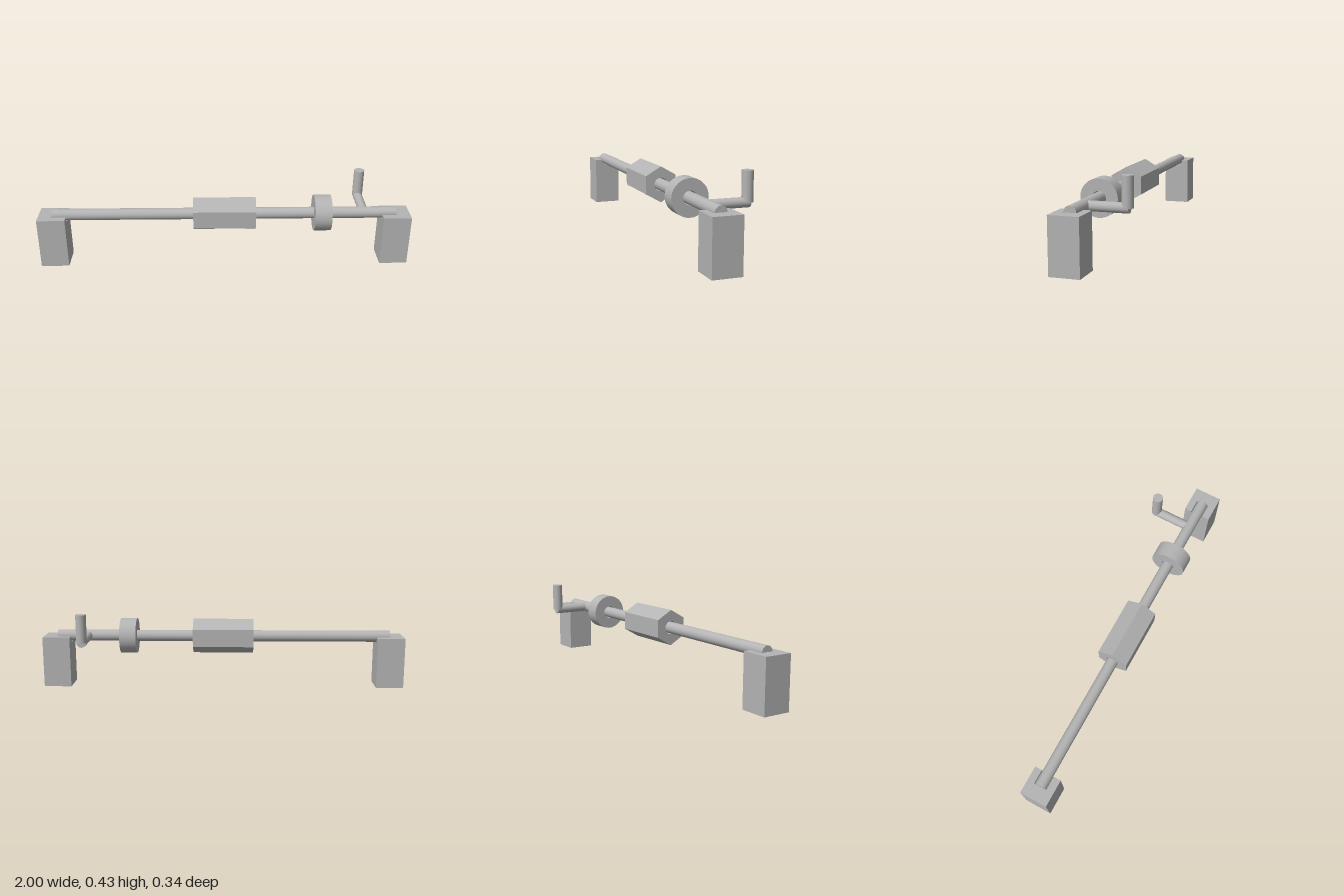
import * as THREE from 'three';

const AXIS_Y = 0.278, AXIS_Z = 0.071, BORE = 0.036;

export function createModel() {
  const model = new THREE.Group();
  const steel = new THREE.MeshStandardMaterial({ color: 0xb4b4b4 });
  steel.name = 'plain grey';

  const add = (name, geometry, x, y, z) => {
    const mesh = new THREE.Mesh(geometry, steel);
    mesh.name = name;
    mesh.position.set(x, y, z);
    model.add(mesh);
    return mesh;
  };

  // Extrudes a profile along the shaft, centred on its length
  const alongShaft = (shape, length) => {
    const g = new THREE.ExtrudeGeometry(shape, { depth: length, bevelEnabled: false, curveSegments: 32 });
    return g.translate(0, 0, -length / 2).rotateY(Math.PI / 2);
  };
  const bored = (shape) => {
    shape.holes.push(new THREE.Path().absarc(0, 0, BORE, 0, Math.PI * 2, true));
    return shape;
  };

  // Shaft
  add('shaft', new THREE.CylinderGeometry(0.031, 0.031, 1.85, 48).rotateZ(Math.PI / 2), 0, AXIS_Y, AXIS_Z);

  // Hexagonal block with a corner at the top
  const hex = new THREE.Shape();
  for (let i = 0; i < 6; i++) {
    const a = Math.PI / 2 + i * Math.PI / 3;
    hex[i ? 'lineTo' : 'moveTo'](0.096 * Math.cos(a), 0.096 * Math.sin(a));
  }
  hex.closePath();
  add('hexBlock', alongShaft(bored(hex), 0.334), 0, AXIS_Y, AXIS_Z);

  // Round wheel
  const disc = new THREE.Shape().absarc(0, 0, 0.097, 0, Math.PI * 2, false);
  add('wheel', alongShaft(bored(disc), 0.09), 0.526, AXIS_Y, AXIS_Z);

  // End supports: solid outer half, inner half with a cradle for the shaft
  const cradle = new THREE.Shape();
  cradle.moveTo(-0.075, -AXIS_Y);
  cradle.lineTo(0.075, -AXIS_Y);
  cradle.lineTo(0.075, 0);
  cradle.lineTo(BORE, 0);
  cradle.absarc(0, 0, BORE, 0, -Math.PI, true);
  cradle.lineTo(-0.075, 0);
  cradle.closePath();
  for (const [side, s] of [['left', 1], ['right', -1]]) {
    add(side + 'Support', new THREE.BoxGeometry(0.073, AXIS_Y, 0.15), s * 0.9635, AXIS_Y / 2, AXIS_Z);
    add(side + 'Cradle', alongShaft(cradle, 0.077), s * 0.8885, AXIS_Y, AXIS_Z);
  }

  // Crank arm and upright handle
  add('crankArm', new THREE.CylinderGeometry(0.025, 0.025, 0.22, 40).rotateX(Math.PI / 2), 0.754, AXIS_Y, -0.039);
  add('crankHandle', new THREE.CylinderGeometry(0.028, 0.028, 0.151, 40), 0.754, 0.3545, -0.14);

  return model;
}
